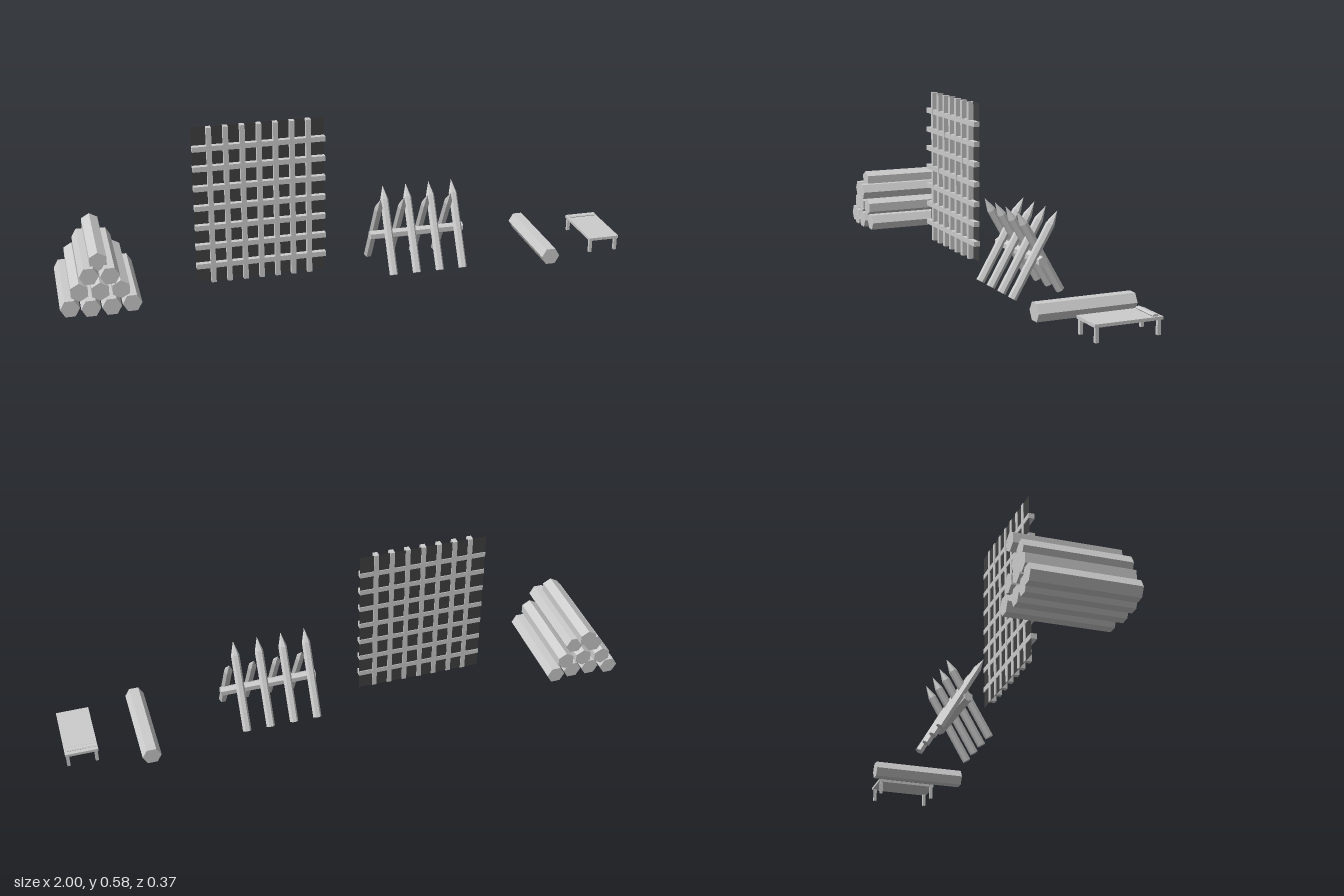
import * as THREE from 'three';

const stone = new THREE.MeshStandardMaterial({ color: 0xcccccc, flatShading: true });
stone.name = 'pale grey';
const dark = new THREE.MeshStandardMaterial({ color: 0x404040, side: THREE.DoubleSide });
dark.name = 'dark grey';

function add(parent, name, geometry, x, y, z, material = stone) {
  const mesh = new THREE.Mesh(geometry, material);
  mesh.name = name;
  mesh.position.set(x, y, z);
  parent.add(mesh);
  return mesh;
}

function group(parent, name) {
  const g = new THREE.Group();
  g.name = name;
  parent.add(g);
  return g;
}

// Six-sided log lying along z, with a flat or a pointed top
function logGeometry(length, flatTop) {
  const g = new THREE.CylinderGeometry(0.0325, 0.0325, length, 6);
  if (flatTop) g.rotateY(Math.PI / 6);
  return g.rotateX(Math.PI / 2);
}

export function createModel() {
  const model = new THREE.Group();
  model.name = 'campProps';

  // Pyramid of logs: each row has its height and the z shift of each log
  const pile = group(model, 'logPile');
  const rows = [
    { y: 0.05, flat: true, shifts: [-0.003, 0.01, 0.012, 0.002] },
    { y: 0.105, flat: false, shifts: [-0.005, 0.004, 0.003] },
    { y: 0.162, flat: true, shifts: [0.003, 0.014] },
    { y: 0.204, flat: false, shifts: [-0.015] },
  ];
  rows.forEach(({ y, flat, shifts }, row) => {
    shifts.forEach((z, i) => {
      const x = -0.967 + 0.068 * i + 0.034 * row;
      add(pile, 'stackedLog', logGeometry(0.34, flat), x, y, z);
    });
  });

  // Lattice of square bars over a dark backing
  const lattice = group(model, 'lattice');
  const cx = -0.2975, cy = 0.3045, width = 0.455, height = 0.565;
  add(lattice, 'backing', new THREE.PlaneGeometry(width, height), cx, cy, 0.006, dark);
  for (let i = -3; i <= 3; i++) {
    add(lattice, 'uprightBar', new THREE.BoxGeometry(0.017, height, 0.022), cx + i * 0.0565, cy, 0.014);
    add(lattice, 'crossBar', new THREE.BoxGeometry(width, 0.018, 0.0215), cx, cy - 0.005 + i * 0.0713, 0.014);
  }

  // Barricade: sharpened stakes leaning alternately across a beam
  const barricade = group(model, 'barricade');
  const beam = new THREE.CylinderGeometry(0.017, 0.017, 0.342, 6).rotateY(Math.PI / 6).rotateZ(Math.PI / 2);
  add(barricade, 'beam', beam, 0.266, 0.128, 0.003);
  const shaft = new THREE.CylinderGeometry(0.015, 0.015, 0.27, 6).rotateY(Math.PI / 6).translate(0, 0.135, 0);
  const tip = new THREE.ConeGeometry(0.015, 0.05, 6, 1, true).rotateY(Math.PI / 6).translate(0, 0.295, 0);
  for (let i = 0; i < 8; i++) {
    const side = i % 2 ? -1 : 1;
    const stake = group(barricade, 'stake');
    stake.position.set(0.115 + i * 0.0424, 0.011, 0.003 - side * 0.097);
    stake.rotation.x = side * Math.PI / 6;
    add(stake, 'stakeShaft', shaft, 0, 0, 0);
    add(stake, 'stakeTip', tip, 0, 0, 0);
  }

  // Single log
  add(model, 'singleLog', logGeometry(0.337, true), 0.716, 0.05, 0);

  // Low cot with four legs and a flattened pillow
  const cot = group(model, 'cot');
  add(cot, 'cotTop', new THREE.BoxGeometry(0.112, 0.01, 0.224), 0.942, 0.072, 0.003);
  for (const x of [0.894, 0.99]) {
    for (const z of [-0.098, 0.105]) {
      add(cot, 'cotLeg', new THREE.BoxGeometry(0.011, 0.046, 0.011), x, 0.044, z);
    }
  }
  const pillow = new THREE.CylinderGeometry(0.01, 0.01, 0.1, 8).rotateZ(Math.PI / 2).scale(1, 0.5, 1);
  add(cot, 'pillow', pillow, 0.942, 0.08, -0.087);

  return model;
}
